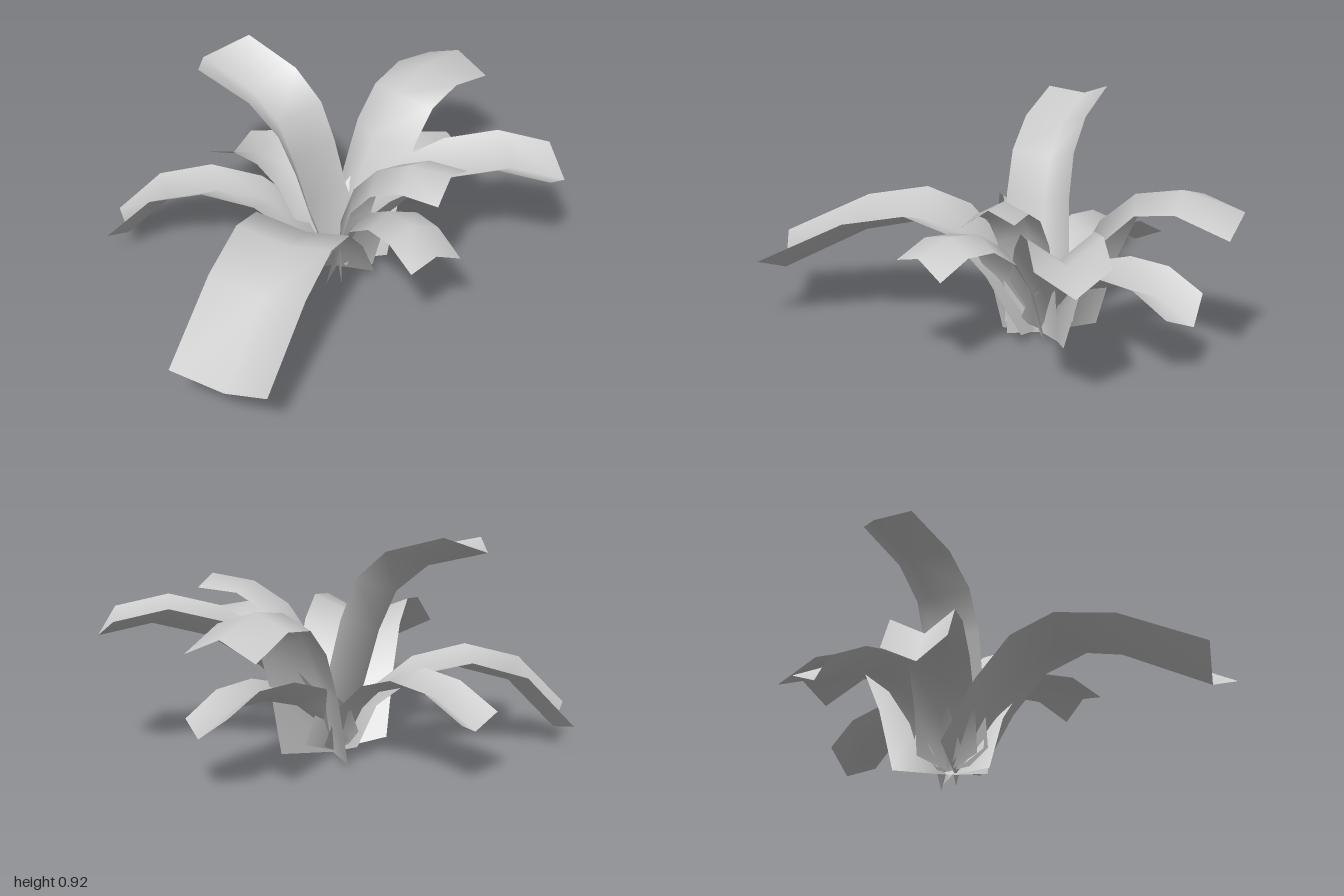
import * as THREE from 'three';

const material = new THREE.MeshStandardMaterial({ color: 0xcccccc, side: THREE.DoubleSide });
const CENTRE = { x: 0.03, z: -0.14 };
const SEGMENTS = 5;

// One arching leaf: a folded strip swept along its midrib.
// tip: end of the midrib [x, y, z] from the plant's centre; width: edge to edge;
// bend: two curve controls [out, up]; lift, baseLift: offset [out, up] from midrib
// to edges at tip and base; tilt: extra [out, up] of one edge, reversed on the other;
// bow: sideways swing halfway along.
function makeLeaf(name, { tip, width, bend, lift, baseLift = lift, tilt = [0, 0], bow = 0 }) {
  const reach = Math.hypot(tip[0], tip[2]);
  const dx = tip[0] / reach, dz = tip[2] / reach;
  const midrib = new THREE.CubicBezierCurve(
    new THREE.Vector2(0.02, 0.015),
    new THREE.Vector2(...bend[0]),
    new THREE.Vector2(...bend[1]),
    new THREE.Vector2(reach, tip[1]),
  );
  const positions = [], index = [];
  midrib.getPoints(SEGMENTS).forEach((p, i) => {
    const t = i / SEGMENTS;
    for (const s of [-1, 0, 1]) {
      const [outShift, upShift] = [0, 1].map(
        (k) => Math.abs(s) * THREE.MathUtils.lerp(baseLift[k], lift[k], t) + s * t * tilt[k],
      );
      const out = p.x + outShift;
      const side = s * width / 2 + bow * 4 * t * (1 - t);
      positions.push(
        CENTRE.x + dx * out - dz * side,
        p.y + upShift,
        CENTRE.z + dz * out + dx * side,
      );
    }
    if (i === 0) return;
    for (let j = 0; j < 2; j++) {
      const a = (i - 1) * 3 + j;
      index.push(a, a + 1, a + 4, a, a + 4, a + 3);
    }
  });
  const geometry = new THREE.BufferGeometry();
  geometry.setAttribute('position', new THREE.Float32BufferAttribute(positions, 3));
  geometry.setIndex(index);
  geometry.computeVertexNormals();
  const mesh = new THREE.Mesh(geometry, material);
  mesh.name = name;
  return mesh;
}

export function createModel() {
  const plant = new THREE.Group();
  plant.name = 'plant';

  // Channelled leaves, edges above the midrib
  plant.add(
    makeLeaf('frontLeaf', {
      tip: [0, 0.21, 1.09], width: 0.4, bend: [[0.27, 0.46], [0.39, 0.65]],
      lift: [0.05, 0.09], baseLift: [0.03, 0.055],
    }),
    makeLeaf('leftBackLeaf', {
      tip: [0.885, 0.515, -0.28], width: 0.28, bend: [[0.15, 0.33], [0.59, 0.69]],
      lift: [-0.065, 0.085],
    }),
    makeLeaf('rightUpperLeaf', {
      tip: [-0.61, 0.86, -0.06], width: 0.27, bend: [[0.23, 0.54], [0.09, 0.78]],
      lift: [-0.1, 0.055], tilt: [-0.04, 0.02], bow: -0.045,
    }),
    makeLeaf('rightLowLeaf', {
      tip: [-0.85, 0.097, 0.245], width: 0.24, bend: [[0.05, 0.33], [0.62, 0.56]],
      lift: [0.06, 0.05], tilt: [0, -0.018],
    }),
    makeLeaf('rightBackLeaf', {
      tip: [-0.605, 0.22, -0.295], width: 0.24, bend: [[0.1, 0.34], [0.38, 0.44]],
      lift: [0.02, 0.055],
    }),
    makeLeaf('backLowLeaf', {
      tip: [0.375, 0.235, -0.65], width: 0.23, bend: [[0.04, 0.25], [0.52, 0.43]],
      lift: [-0.045, 0.07], tilt: [0, -0.022],
    }),
  );

  // Ridged leaves, edges below the midrib
  plant.add(
    makeLeaf('backLeaf', {
      tip: [0.24, 0.66, -0.815], width: 0.3, bend: [[0.2, 0.57], [0.365, 0.825]],
      lift: [0, -0.07], baseLift: [0.15, 0.01],
    }),
    makeLeaf('leftUpperLeaf', {
      tip: [0.53, 0.7, 0.11], width: 0.22, bend: [[0.01, 0.47], [0.21, 0.72]],
      lift: [0.01, -0.06], baseLift: [0.09, 0.01], tilt: [0, -0.02], bow: 0.02,
    }),
    makeLeaf('leftFrontLeaf', {
      tip: [0.57, 0.505, 0.37], width: 0.24, bend: [[0.13, 0.465], [0.405, 0.64]],
      lift: [0, -0.05], baseLift: [0.09, 0.01], tilt: [0, 0.015],
    }),
  );
  return plant;
}
